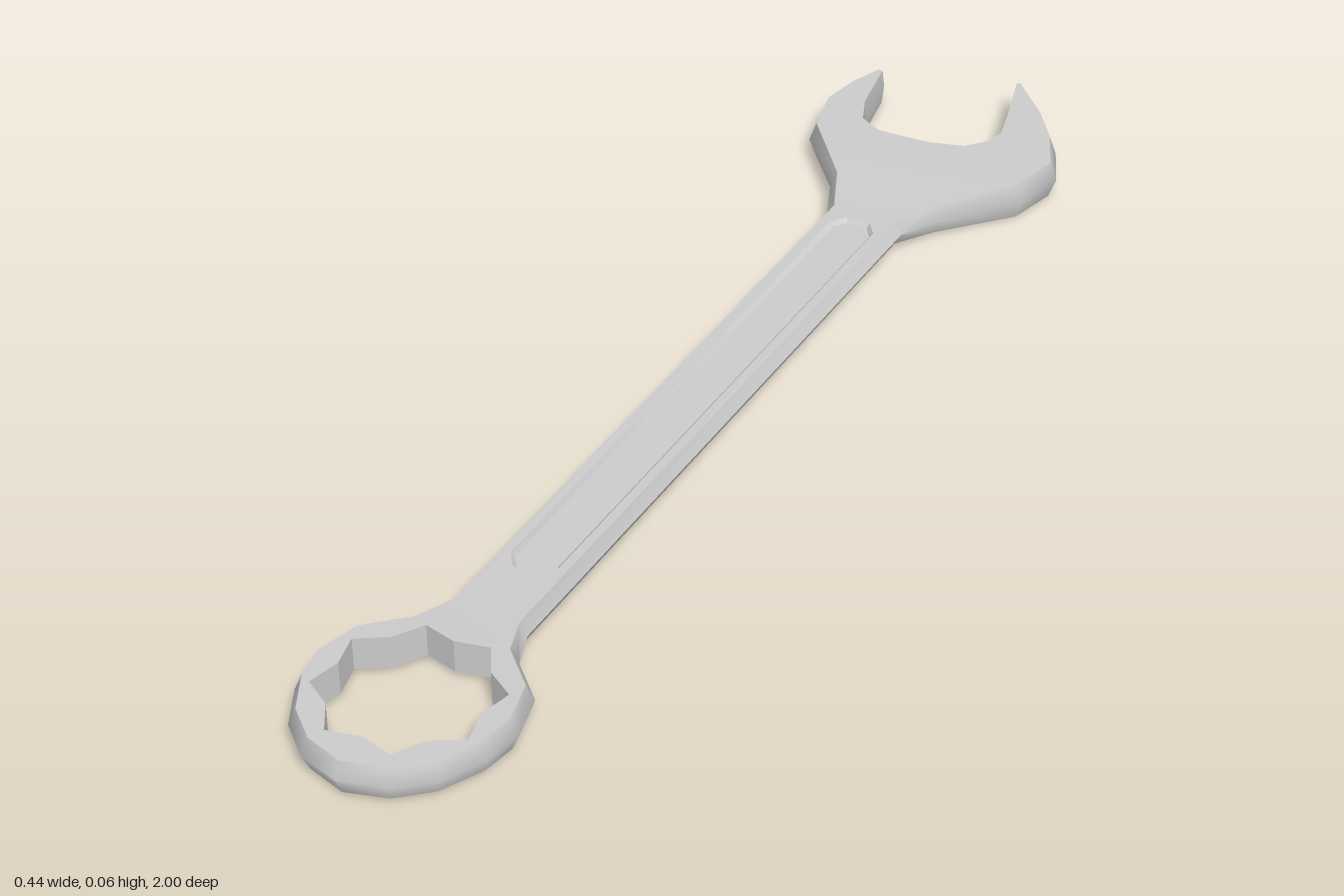
import * as THREE from 'three';
import { toCreasedNormals } from 'three/addons/utils/BufferGeometryUtils.js';

const MID = 0.033; // height of the mirror plane between top and bottom faces
const V2 = (x, z) => new THREE.Vector2(x, z);

// Half thickness along the tool: thick jaw, slim handle, medium ring
function halfThickness(z) {
  const jaw = 0.011 * THREE.MathUtils.smoothstep(-z, 0.5, 0.66);
  const ring = 0.006 * THREE.MathUtils.smoothstep(z, 0.62, 0.72);
  return 0.02 + jaw + ring;
}

// Plan outline [x, z], counterclockwise seen from above
const outline = [
  // right side of the open jaw
  [0.065, -0.51], [0.1, -0.575], [0.193, -0.69], [0.215, -0.78], [0.18, -0.86], [0.135, -0.925], [0.056, -1],
  // jaw opening
  [0.045, -0.997], [0.075, -0.885], [0.088, -0.83], [0.08, -0.797], [0.055, -0.767], [0, -0.751], [-0.087, -0.748],
  [-0.124, -0.77], [-0.145, -0.82], [-0.167, -0.93],
  // left side of the open jaw
  [-0.179, -0.93], [-0.208, -0.873], [-0.22, -0.8], [-0.198, -0.71], [-0.1, -0.59], [-0.065, -0.51],
  // handle and ring
  [-0.063, 0.635], [-0.083, 0.69], [-0.14, 0.745], [-0.158, 0.815], [-0.148, 0.873], [-0.115, 0.937], [-0.066, 0.98],
  [0, 1],
  [0.066, 0.98], [0.115, 0.937], [0.148, 0.873], [0.158, 0.815], [0.14, 0.745], [0.083, 0.69], [0.063, 0.635],
].map(([x, z]) => V2(x, z));

// Moves a counterclockwise loop inwards by a distance given per point
function inset(loop, distance) {
  const n = loop.length;
  const inward = (a, b) => { const d = b.clone().sub(a).normalize(); return V2(d.y, -d.x); };
  return loop.map((p, i) => {
    const n1 = inward(loop[(i + n - 1) % n], p), n2 = inward(p, loop[(i + 1) % n]);
    const scale = distance(i) / Math.max(0.6, 1 + n1.dot(n2));
    return p.clone().add(n1.add(n2).multiplyScalar(scale));
  });
}

// Collects triangles, each one repeated as its mirror image below MID
class Surface {
  constructor() { this.data = []; }
  triangle(a, b, c) {
    for (const p of [a, b, c]) this.data.push(p.x, MID + p.y, p.z);
    for (const p of [a, c, b]) this.data.push(p.x, MID - p.y, p.z);
  }
  // Flat or sloped upward face over a plan polygon with holes
  cap(contour, holes, height) {
    const points = [contour, ...holes].flat();
    const at = (i) => new THREE.Vector3(points[i].x, height(points[i].y), points[i].y);
    for (const [i, j, k] of THREE.ShapeUtils.triangulateShape(contour.slice(), holes.map((h) => h.slice()))) {
      const a = at(i), b = at(j), c = at(k);
      const up = (b.z - a.z) * (c.x - a.x) - (b.x - a.x) * (c.z - a.z) > 0;
      if (up) this.triangle(a, b, c); else this.triangle(a, c, b);
    }
  }
  // Band between two loops of equal length
  wall(lower, lowHeight, upper, upHeight) {
    lower.forEach((p, i) => {
      const j = (i + 1) % lower.length;
      const at = (q, h) => new THREE.Vector3(q.x, h(q.y), q.y);
      const a = at(p, lowHeight), b = at(lower[j], lowHeight);
      const c = at(upper[j], upHeight), d = at(upper[i], upHeight);
      this.triangle(a, b, c);
      this.triangle(a, c, d);
    });
  }
  mesh(name, crease) {
    const geometry = new THREE.BufferGeometry();
    geometry.setAttribute('position', new THREE.Float32BufferAttribute(this.data, 3));
    const mesh = new THREE.Mesh(toCreasedNormals(geometry, crease),
      new THREE.MeshStandardMaterial({ color: 0xcccccc }));
    mesh.name = name;
    return mesh;
  }
}

// Long slot with cut corners, counterclockwise from above
function slot(w, z0, z1, cx, cz) {
  return [[w, z1 - cz], [w, z0 + cz], [w - cx, z0], [cx - w, z0],
    [-w, z0 + cz], [-w, z1 - cz], [cx - w, z1], [w - cx, z1]].map(([x, z]) => V2(x, z));
}

export function createModel() {
  const group = new THREE.Group();
  group.name = 'combinationWrench';
  const middle = () => 0;

  // Faces are narrower than the ridge that runs round the edge
  const edge = inset(outline, (i) => (i === 6 || i === 7 || i === 16 || i === 17 ? 0.003 : i > 7 && i < 16 ? 0.005 : 0.011));

  // Eight-point socket through the ring, clockwise from above
  const socket = Array.from({ length: 16 }, (_, i) => {
    const angle = i * Math.PI / 8, r = i % 2 ? 0.131 : 0.109;
    return V2(r * Math.cos(angle), 0.827 + r * Math.sin(angle));
  });

  // Recessed panel in the handle
  const rim = slot(0.038, -0.49, 0.535, 0.018, 0.025);
  const floor = inset(rim, () => 0.006);

  const span = (...indices) => indices.map((i) => edge[i]);
  const faces = new Surface();
  faces.cap(edge.slice(2, 21), [], halfThickness); // jaw
  faces.cap(span(1, 2, 20, 21), [], halfThickness); // jaw shoulder
  faces.cap(span(0, 1, 21, 22), [], halfThickness); // jaw neck
  faces.cap(span(0, 22, 23, 37), [rim], halfThickness); // handle
  faces.cap(span(37, 23, 24, 36), [], halfThickness); // ring neck
  faces.cap(edge.slice(24, 37), [socket], halfThickness); // ring
  group.add(faces.mesh('bodyFaces', 0.6));

  const sides = new Surface();
  sides.wall(outline, middle, edge, halfThickness);
  group.add(sides.mesh('bodySides', 0.95));

  const socketWall = new Surface();
  socketWall.wall(socket, middle, socket, halfThickness);
  group.add(socketWall.mesh('ringSocket', 0.3));

  const panel = new Surface();
  const floorHeight = () => 0.013;
  panel.wall(floor.slice().reverse(), floorHeight, rim.slice().reverse(), halfThickness);
  panel.cap(floor, [], floorHeight);
  group.add(panel.mesh('handleRecess', 0.6));

  return group;
}
